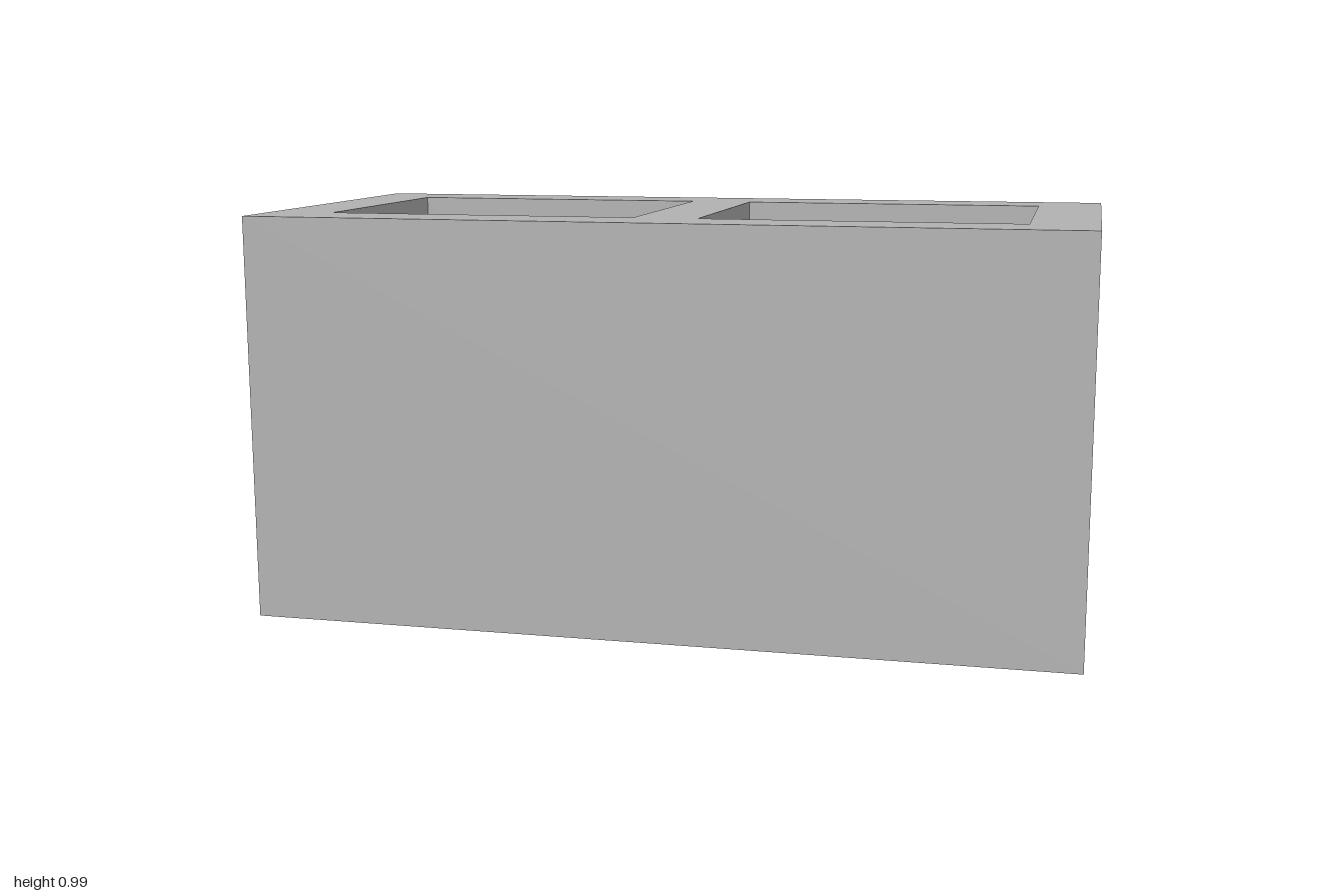
import * as THREE from 'three';

const WIDTH = 2, HEIGHT = 0.99, DEPTH = 0.958;
const CORE_WIDTH = 0.764, CORE_DEPTH = 0.632, CORE_X = 0.46;

// Traces a rectangle centred on (cx, 0) into a shape or path
function rectangle(path, cx, w, d) {
  path.moveTo(cx - w / 2, -d / 2);
  path.lineTo(cx + w / 2, -d / 2);
  path.lineTo(cx + w / 2, d / 2);
  path.lineTo(cx - w / 2, d / 2);
  path.closePath();
  return path;
}

export function createModel() {
  const concrete = new THREE.MeshStandardMaterial({ color: 0xb2b2b2 });
  concrete.name = 'concrete grey';

  // Block plan with two rectangular cores running right through
  const plan = rectangle(new THREE.Shape(), 0, WIDTH, DEPTH);
  for (const side of [-1, 1]) {
    plan.holes.push(rectangle(new THREE.Path(), side * CORE_X, CORE_WIDTH, CORE_DEPTH));
  }

  // Extrude the plan and stand it upright
  const geometry = new THREE.ExtrudeGeometry(plan, { depth: HEIGHT, bevelEnabled: false });
  geometry.rotateX(-Math.PI / 2);

  const block = new THREE.Mesh(geometry, concrete);
  block.name = 'hollowBlock';

  const model = new THREE.Group();
  model.name = 'concreteBlock';
  model.add(block);
  return model;
}
